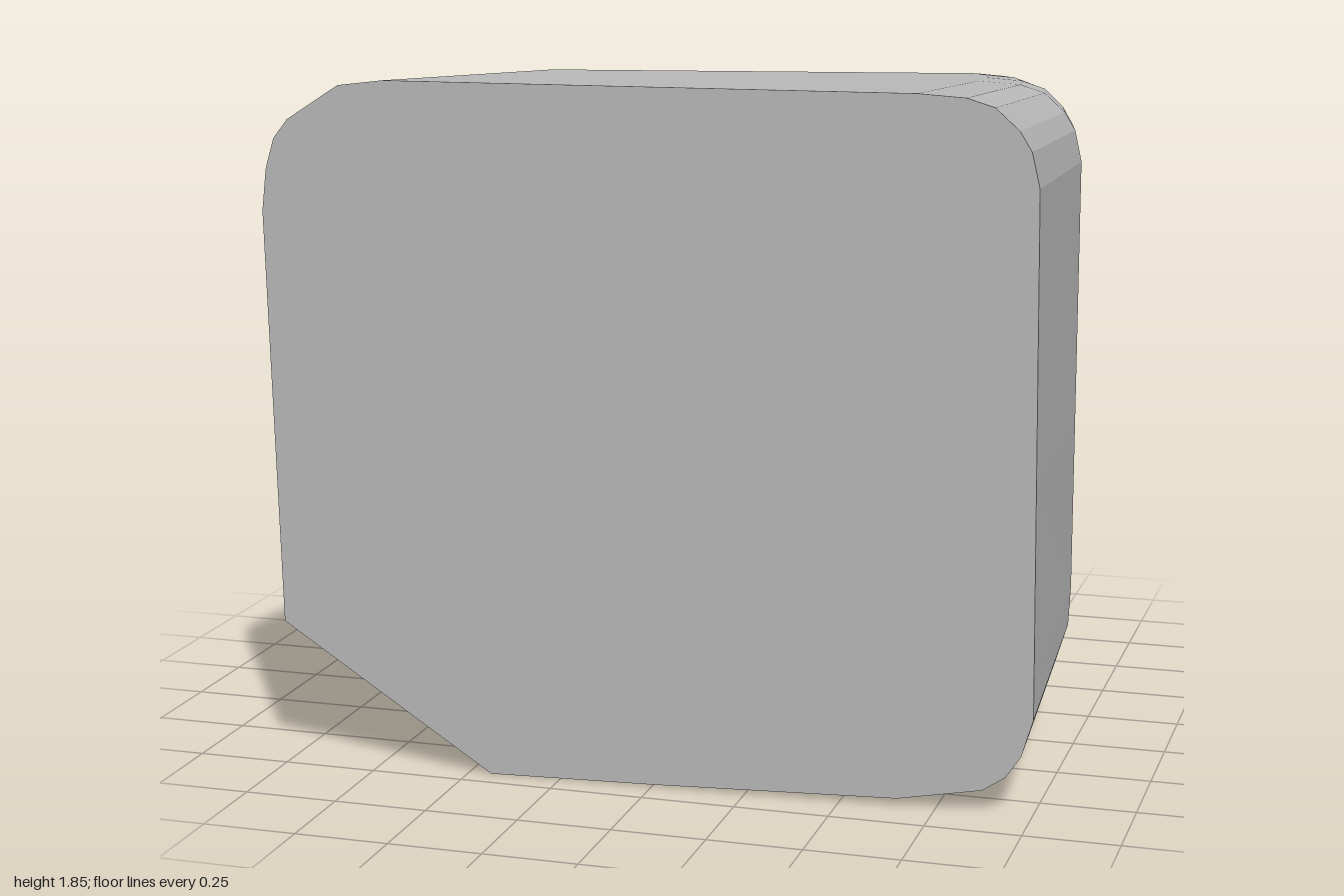
import * as THREE from 'three';

// Two oblique cut planes, each giving z at (x, y)
const frontZ = (x, y) => 0.66 - 0.055 * x + 0.052 * y;
const backZ = (x, y) => 0.473 - 0.48 * x - 0.563 * y;

// Outline where the body meets the front cut (clockwise seen from the front)
const outline = [
  [-1, 0.39], [-1, 1.5], [-0.985, 1.61], [-0.96, 1.69], [-0.92, 1.74], [-0.78, 1.83], [-0.66, 1.845],
  [0.7, 1.845], [0.82, 1.837], [0.89, 1.815], [0.95, 1.76], [0.98, 1.71], [1, 1.62],
  [1, 1.4], [1, 0.87], [1, 0.36], [1, 0.26], [0.97, 0.16], [0.93, 0.1], [0.87, 0.06],
  [0.65, 0.02], [0, 0.005], [-0.44, 0],
];

// How far the left-hand wall has curved inward at each depth: [z, inset]
const wall = [[0.68, 0], [-0.2, 0.05], [-0.47, 0.105], [-0.7, 0.185], [-0.85, 0.28]];

function wallInset(z) {
  for (let i = 1; i < wall.length; i++) {
    const [z0, a] = wall[i - 1], [z1, b] = wall[i];
    if (z >= z1 || i === wall.length - 1) return Math.max(0, a + (b - a) * (z0 - z) / (z0 - z1));
  }
}

// Outline point carried back to depth z with the body's taper
function carry([x, y], z) {
  const depth = frontZ(x, y) - z;
  const inset = x > 0 ? wallInset(z) : 0.12 * depth;
  return new THREE.Vector3(x * (1 - inset), y + depth * (0.06 - 0.125 * y / 1.845), z);
}

// Depth at which an outline point reaches the back cut
function backDepth(p) {
  const start = frontZ(...p);
  let z = start;
  for (let i = 0; i < 40; i++) {
    const q = carry(p, z);
    z = Math.min(start, backZ(q.x, q.y));
  }
  return z;
}

function flatMesh(name, triangles, material) {
  const points = [];
  for (const [a, b, c] of triangles) {
    const area = b.clone().sub(a).cross(c.clone().sub(a)).length();
    if (area > 1e-7) points.push(a, b, c);
  }
  const geometry = new THREE.BufferGeometry().setFromPoints(points);
  geometry.computeVertexNormals();
  const mesh = new THREE.Mesh(geometry, material);
  mesh.name = name;
  return mesh;
}

export function createModel() {
  const grey = new THREE.MeshStandardMaterial({ color: 0xbcbcbc });
  grey.name = 'stoneGrey';

  // Rings from front cut to back cut, stopping early where the back cut is reached
  const front = outline.map(([x, y]) => new THREE.Vector3(x, y, frontZ(x, y)));
  const ends = outline.map(backDepth);
  const rings = [front];
  for (const z of [-0.2, -0.47, -0.7, -9]) {
    rings.push(outline.map((p, i) => carry(p, Math.max(z, ends[i]))));
  }
  const back = rings[rings.length - 1];
  const centre = (ring) => ring.reduce((s, p) => s.add(p), new THREE.Vector3()).divideScalar(ring.length);
  const frontCentre = centre(front), backCentre = centre(back);

  const sides = [], frontCap = [], backCap = [];
  for (let i = 0; i < outline.length; i++) {
    const j = (i + 1) % outline.length;
    for (let r = 1; r < rings.length; r++) {
      const a = rings[r - 1], b = rings[r];
      sides.push([a[i], a[j], b[j]], [a[i], b[j], b[i]]);
    }
    frontCap.push([frontCentre, front[j], front[i]]);
    backCap.push([backCentre, back[i], back[j]]);
  }

  const group = new THREE.Group();
  group.name = 'cutBlock';
  group.add(
    flatMesh('roundedSides', sides, grey),
    flatMesh('frontCutFace', frontCap, grey),
    flatMesh('backCutFace', backCap, grey),
  );
  return group;
}
